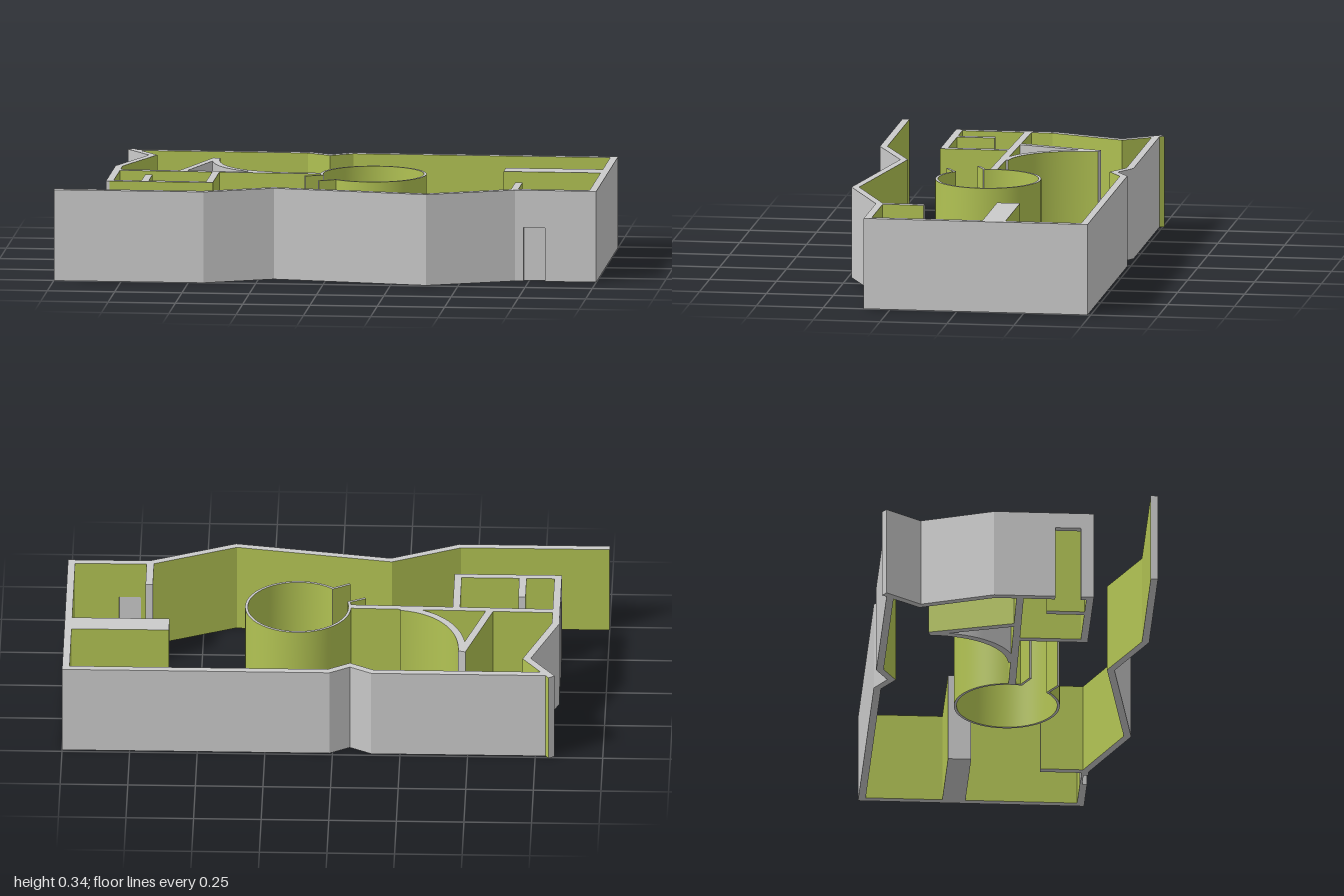
import * as THREE from 'three';
import { toCreasedNormals } from 'three/addons/utils/BufferGeometryUtils.js';

const H = 0.34;      // wall height
const T = 0.0135;    // usual half thickness
const grey = new THREE.MeshStandardMaterial({ color: 0xcccccc });
const olive = new THREE.MeshStandardMaterial({ color: 0xb2c353 });

// Offsets a plan path [x, z] sideways by h, with mitred corners.
function offset(path, h) {
  return path.map((p, i) => {
    const dir = (a, b) => new THREE.Vector2(b[0] - a[0], b[1] - a[1]).normalize();
    const d1 = i < path.length - 1 ? dir(p, path[i + 1]) : dir(path[i - 1], p);
    const d0 = i > 0 ? dir(path[i - 1], p) : d1;
    const m = d0.clone().add(d1).normalize();
    const k = h / m.dot(d1);
    return [p[0] - m.y * k, p[1] + m.x * k];
  });
}

// Upright wall along a path; sideA is +z when the path runs +x.
// Tops, undersides and ends stay plain.
function wall(name, path, { sideA = olive, sideB = olive, h = T, y0 = 0, y1 = H } = {}) {
  const A = offset(path, h), B = offset(path, -h);
  const faces = new Map([[grey, []], [olive, []]]);
  const quad = (mat, a, b, c, d) => faces.get(mat).push(...a, ...b, ...c, ...a, ...c, ...d);
  const at = (p, y) => [p[0], y, p[1]];
  const upright = (mat, p, q) => quad(mat, at(p, y0), at(q, y0), at(q, y1), at(p, y1));
  const n = path.length - 1;
  for (let i = 0; i < n; i++) {
    upright(sideA, A[i], A[i + 1]);
    upright(sideB, B[i + 1], B[i]);
    quad(grey, at(A[i], y1), at(A[i + 1], y1), at(B[i + 1], y1), at(B[i], y1));
    quad(grey, at(B[i], y0), at(B[i + 1], y0), at(A[i + 1], y0), at(A[i], y0));
  }
  upright(grey, B[0], A[0]);
  upright(grey, A[n], B[n]);
  const group = new THREE.Group();
  group.name = name;
  for (const [mat, pos] of faces) {
    if (!pos.length) continue;
    const geo = new THREE.BufferGeometry();
    geo.setAttribute('position', new THREE.Float32BufferAttribute(pos, 3));
    geo.computeVertexNormals();
    const mesh = new THREE.Mesh(toCreasedNormals(geo, 0.15), mat);
    mesh.name = name + (mat === olive ? 'PaintedFaces' : 'PlainFaces');
    group.add(mesh);
  }
  return group;
}

export function createModel() {
  const model = new THREE.Group();
  model.name = 'floorPlanWalls';
  const add = (...args) => model.add(wall(...args));
  const outer = { sideA: grey };

  // Front wall up to the doorway
  add('frontWall', [[-1, 0.491], [-0.447, 0.491], [-0.195, 0.377], [0.38, 0.473],
    [0.695, 0.335], [0.73, 0.335]], outer);
  // Front doorway with lintel and recessed door
  add('frontDoorLintel', [[0.73, 0.335], [0.81, 0.335]], { sideA: grey, y0: 0.2 });
  add('frontDoor', [[0.73, 0.327], [0.81, 0.327]], { sideA: grey, sideB: grey, h: 0.004, y1: 0.2 });
  // Side and back walls, with the notch in the back
  add('sideAndBackWall', [[0.81, 0.335], [0.9865, 0.335], [0.9865, -0.475], [0.015, -0.475],
    [-0.063, -0.427], [-0.147, -0.475], [-0.8, -0.475]], outer);

  // Angled right wall with its doorway
  add('rightWall', [[-0.811, -0.498], [-0.715, -0.36], [-0.815, -0.09], [-0.815, 0.135]], outer);
  add('rightDoorLintel', [[-0.815, 0.135], [-0.815, 0.23]], { sideA: grey, y0: 0.28 });
  add('rightWallEnd', [[-0.815, 0.23], [-0.815, 0.277]], outer);

  // Small room in the front right corner
  add('smallRoomWall', [[-0.815, 0.264], [-0.445, 0.264], [-0.445, 0.015]]);
  add('smallRoomPartition', [[-0.685, 0.11], [-0.685, 0.26]]);
  add('middleWall', [[-0.815, 0.005], [-0.05, 0.02]]);

  // Triangular room: straight leg and concave curved wall
  add('slantedWall', [[-0.57, 0.005], [-0.474, -0.312]], { sideA: grey });
  const curve = new THREE.CubicBezierCurve(
    new THREE.Vector2(-0.474, -0.308), new THREE.Vector2(-0.475, -0.14),
    new THREE.Vector2(-0.385, -0.012), new THREE.Vector2(-0.24, 0.008));
  add('curvedWall', curve.getPoints(32).map(p => [p.x, p.y]), { sideA: grey });

  // Round room, open toward the front right, with two entry wings
  const ring = [];
  const a0 = Math.atan2(0.143, -0.127), a1 = Math.atan2(0.045, -0.186);
  for (let i = 0; i <= 72; i++) {
    const a = a0 + (a1 - a0 - 2 * Math.PI) * i / 72;
    ring.push([0.14 + 0.191 * Math.cos(a), 0.012 + 0.191 * Math.sin(a)]);
  }
  add('roundRoom', ring, { h: 0.005 });
  add('entryWingBack', [[-0.107, 0.085], [-0.046, 0.054]], { h: 0.005 });
  add('entryWingFront', [[-0.047, 0.192], [0.017, 0.155]], { h: 0.005 });

  // Partitions off the front and left walls
  add('frontPartition', [[0.695, 0.168], [0.695, 0.335]]);
  add('thickPartition', [[0.613, -0.135], [0.98, -0.135]], { h: 0.043 });

  return model;
}
